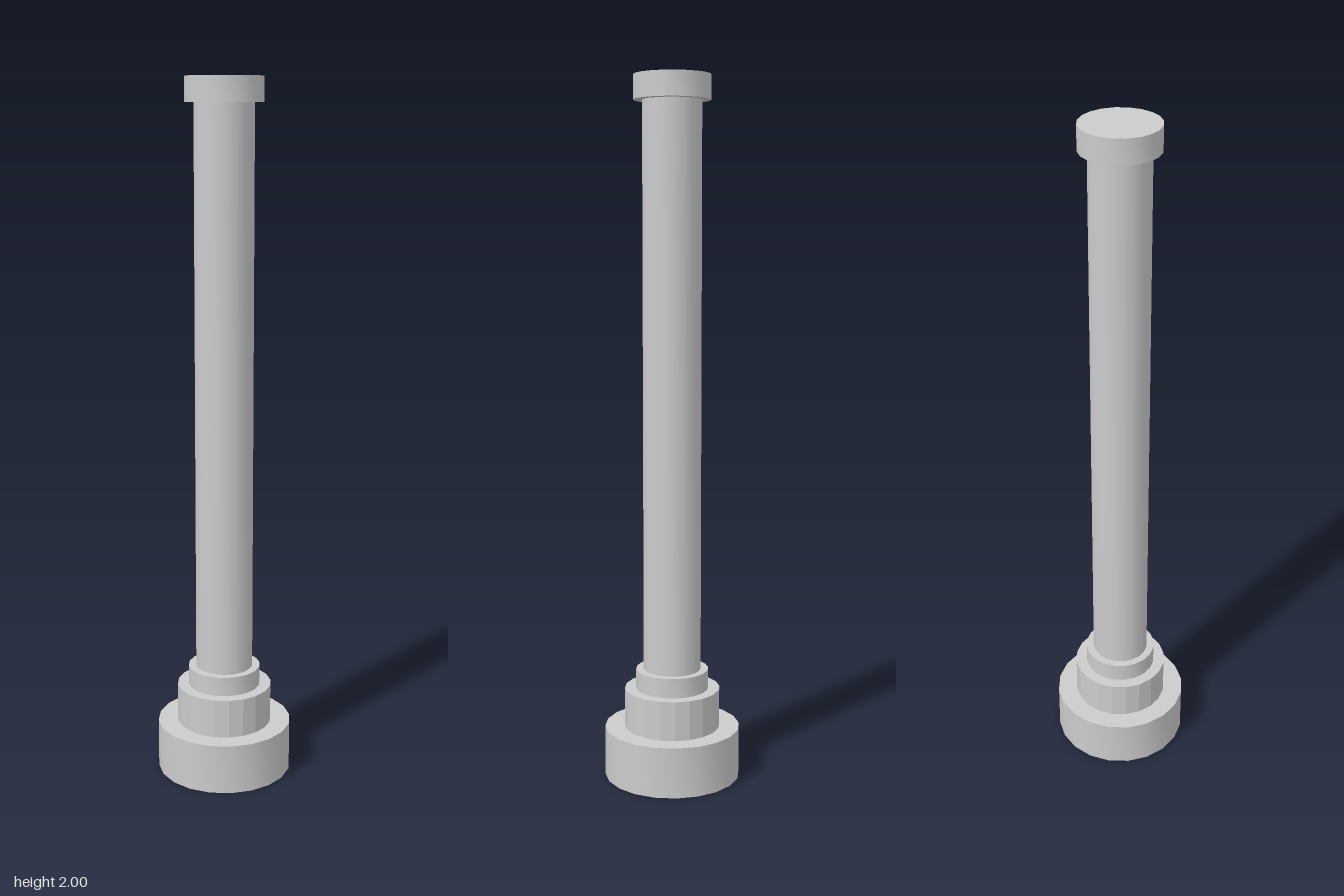
import * as THREE from 'three';
import { toCreasedNormals } from 'three/addons/utils/BufferGeometryUtils.js';

const SIDES = 20;

export function createModel() {
  const group = new THREE.Group();
  const smooth = new THREE.MeshStandardMaterial({ color: 0xcccccc, side: THREE.DoubleSide });
  const faceted = smooth.clone();
  faceted.flatShading = true;

  // Turned thin shell from [radius, height] pairs, with sharp rims
  function turned(name, profile, material = smooth) {
    const points = profile.map(([r, y]) => new THREE.Vector2(r, y));
    const geometry = toCreasedNormals(new THREE.LatheGeometry(points, SIDES), Math.PI / 6);
    const mesh = new THREE.Mesh(geometry, material);
    mesh.name = name;
    group.add(mesh);
  }

  // Hollow stepped foot, open underneath
  turned('base', [[0.196, 0], [0.196, 0.146], [0.138, 0.146]]);
  turned('middleStep', [[0.138, 0.146], [0.138, 0.26], [0.105, 0.26]], faceted);
  turned('collar', [[0.105, 0.26], [0.105, 0.317], [0.083, 0.317]]);

  // Long shaft and closed cap
  turned('shaft', [[0.083, 0.317], [0.083, 1.932]]);
  turned('cap', [[0.083, 1.932], [0.108, 1.932], [0.108, 2], [0, 2]]);

  return group;
}
